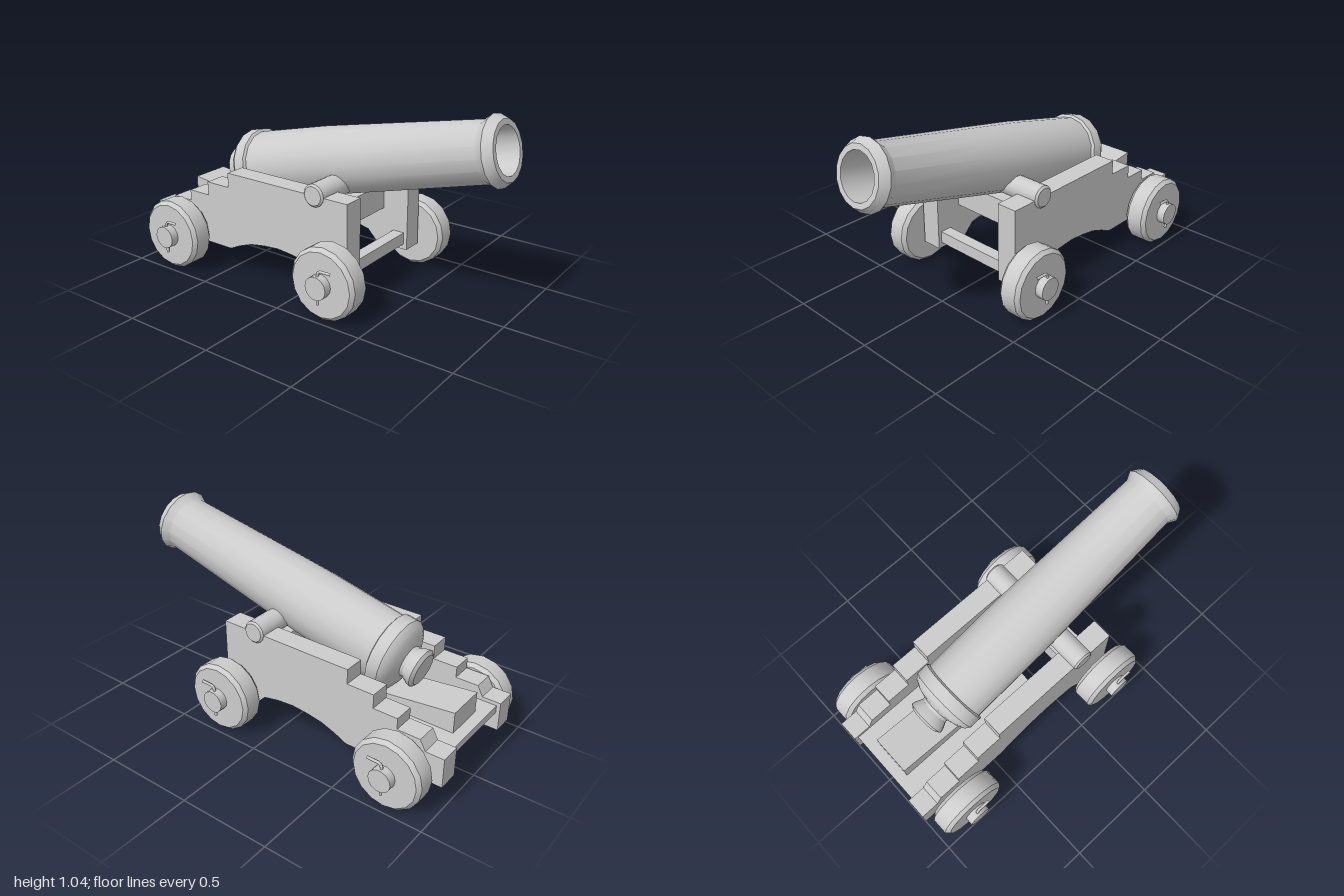
import * as THREE from 'three';
import { toCreasedNormals } from 'three/addons/utils/BufferGeometryUtils.js';

export function createModel() {
  const model = new THREE.Group();
  model.name = 'cannon';
  const grey = new THREE.MeshStandardMaterial({ color: 0xcccccc });
  grey.name = 'plain grey';

  const add = (name, geometry, x = 0, y = 0, z = 0, parent = model) => {
    const mesh = new THREE.Mesh(geometry, grey);
    mesh.name = name;
    mesh.position.set(x, y, z);
    parent.add(mesh);
    return mesh;
  };
  const box = (name, w, h, d, x, y, z) => add(name, new THREE.BoxGeometry(w, h, d), x, y, z);
  const lathe = (points, sides) => toCreasedNormals(
    new THREE.LatheGeometry(points.map(([r, y]) => new THREE.Vector2(r, y)), sides), 0.55);
  // Side outline given as [z, y], extruded to a width centred on x = 0
  const slab = (points, width) => {
    const shape = new THREE.Shape(points.map(([z, y]) => new THREE.Vector2(z, y)));
    return new THREE.ExtrudeGeometry(shape, { depth: width, bevelEnabled: false })
      .rotateY(-Math.PI / 2).translate(width / 2, 0, 0);
  };

  // Barrel: cascabel knob, breech ring, tapered tube, muzzle swell and bore
  const tilt = 0.235;
  const barrel = add('barrel', lathe([
    [0, -1.68], [0.085, -1.68], [0.105, -1.665], [0.1, -1.645], [0.083, -1.61], [0.085, -1.595],
    [0.14, -1.58], [0.178, -1.56], [0.196, -1.535], [0.196, -1.47], [0.181, -1.462],
    [0.182, -1.0], [0.174, -0.75], [0.152, -0.09], [0.175, -0.045], [0.147, 0],
    [0.118, 0], [0.116, -1.3], [0, -1.3],
  ], 16), 0, 0.88, 0.957);
  barrel.rotation.x = Math.PI / 2 - tilt;

  // Trunnions resting on the cheeks
  const trunnion = lathe([
    [0, -0.345], [0.05, -0.345], [0.06, -0.335], [0.06, 0.335], [0.05, 0.345], [0, 0.345],
  ], 14).rotateZ(Math.PI / 2);
  add('trunnions', trunnion, 0, 0.577, 0.112);

  // Stepped carriage cheeks
  const cheek = slab([
    [0.31, 0.14], [0.31, 0.575], [-0.46, 0.575], [-0.46, 0.495], [-0.61, 0.495],
    [-0.61, 0.42], [-0.745, 0.42], [-0.745, 0.36], [-0.87, 0.36], [-0.9, 0.305], [-1.0, 0.305],
    [-1.0, 0.145], [-0.46, 0.145], [-0.39, 0.178], [-0.31, 0.207], [-0.22, 0.222], [-0.13, 0.23],
    [-0.03, 0.222], [0.06, 0.203], [0.12, 0.14],
  ], 0.113);
  for (const side of [1, -1]) add(side > 0 ? 'leftCheek' : 'rightCheek', cheek, side * 0.2765, 0, 0);

  // Cross members, bed and elevating wedge
  box('transom', 0.44, 0.14, 0.1, 0, 0.42, 0.11);
  box('bedPlank', 0.44, 0.04, 0.88, 0, 0.265, -0.54);
  add('wedge', slab([[-0.92, 0.285], [-0.36, 0.285], [-0.36, 0.335], [-0.92, 0.4]], 0.22));

  // Wheels, hubs and bent linchpins
  const tyre = lathe([
    [0, -0.064], [0.172, -0.064], [0.191, -0.044], [0.191, 0.044], [0.172, 0.064], [0, 0.064],
  ], 16).rotateZ(Math.PI / 2);
  const hub = toCreasedNormals(new THREE.CylinderGeometry(0.061, 0.061, 0.06, 14), 0.55).rotateZ(Math.PI / 2);
  const pinPath = new THREE.CurvePath();
  const bend = [[-0.092, 0], [0.07, 0], [0.086, 0.012], [0.088, 0.08]]
    .map(([y, z]) => new THREE.Vector3(0, y, z));
  for (let i = 0; i < 3; i++) pinPath.add(new THREE.LineCurve3(bend[i], bend[i + 1]));
  const pin = new THREE.TubeGeometry(pinPath, 24, 0.008, 6);

  for (const [end, z] of [['front', 0.257], ['rear', -0.775]]) {
    box(end + 'Axle', 0.44, 0.066, 0.066, 0, 0.203, z);
    box(end + 'AxleArms', 0.72, 0.048, 0.052, 0, 0.198, z);
    for (const side of [1, -1]) {
      const wheel = new THREE.Group();
      wheel.name = end + (side > 0 ? 'Left' : 'Right') + 'Wheel';
      wheel.position.set(side * 0.411, 0.192, z);
      add('tyre', tyre, 0, 0, 0, wheel);
      add('hub', hub, side * 0.078, 0, 0, wheel);
      add('linchpin', pin, side * 0.087, 0, 0, wheel);
      model.add(wheel);
    }
  }
  return model;
}
